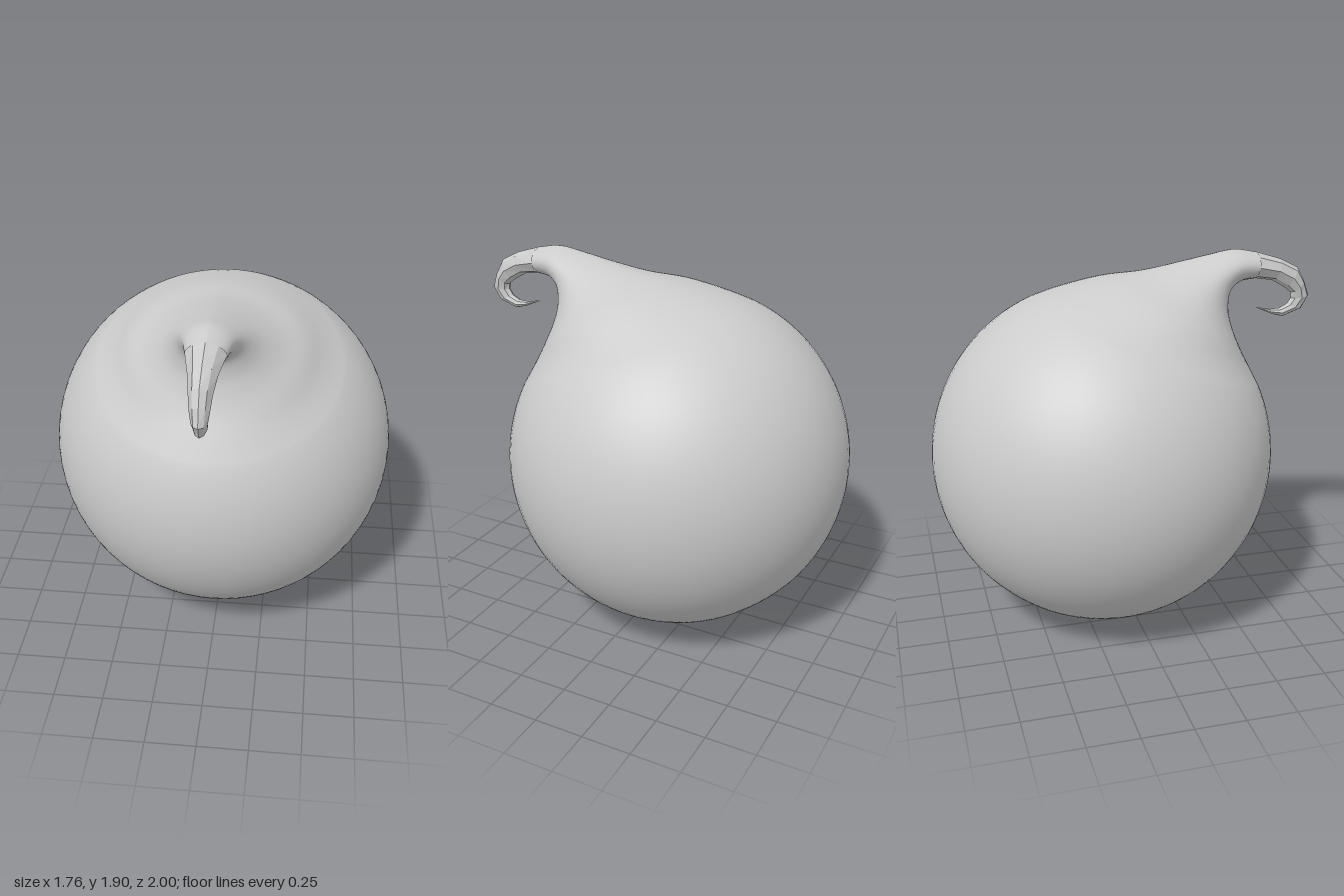
import * as THREE from 'three';

const RADIUS = 0.88, CENTRE_Y = 0.88, CENTRE_Z = -0.12;
const TILT = 22; // lean of the neck from vertical, degrees
const NECK_ANGLE = 37; // where the neck leaves the ball

// A station is [outer z, outer y, inner z, inner y, half width].
const ballStation = (degrees) => {
  const at = (d) => {
    const a = THREE.MathUtils.degToRad(d);
    return [CENTRE_Z + RADIUS * Math.sin(a), CENTRE_Y + RADIUS * Math.cos(a)];
  };
  const width = RADIUS * Math.sin(THREE.MathUtils.degToRad(degrees));
  return [...at(TILT - degrees), ...at(TILT + degrees), width];
};

const neckStations = [
  [-0.1, 1.787, 0.58, 1.44, 0.42],
  [0.1, 1.81, 0.545, 1.535, 0.31],
  [0.3, 1.85, 0.53, 1.61, 0.215],
  [0.45, 1.88, 0.54, 1.69, 0.155],
  [0.58, 1.9, 0.595, 1.735, 0.115],
  [0.7, 1.88, 0.68, 1.748, 0.09],
];

const hookStations = [
  [0.58, 1.9, 0.595, 1.735, 0.113],
  [0.7, 1.88, 0.68, 1.748, 0.09],
  [0.83, 1.84, 0.79, 1.73, 0.065],
  [0.93, 1.79, 0.86, 1.69, 0.052],
  [0.97, 1.72, 0.9, 1.66, 0.045],
  [1.0, 1.64, 0.9, 1.63, 0.036],
  [0.96, 1.57, 0.88, 1.6, 0.03],
  [0.86, 1.535, 0.84, 1.58, 0.025],
  [0.8, 1.55, 0.79, 1.577, 0.016],
  [0.71, 1.59, 0.71, 1.592, 0.002],
];

// Smoothly subdivide a list of stations.
function refine(stations, steps) {
  const curve = (f) => new THREE.CatmullRomCurve3(stations.map(f));
  const outer = curve((s) => new THREE.Vector3(s[4], s[1], s[0]));
  const inner = curve((s) => new THREE.Vector3(0, s[3], s[2]));
  return Array.from({ length: steps + 1 }, (_, i) => {
    const o = outer.getPoint(i / steps), n = inner.getPoint(i / steps);
    return [o.z, o.y, n.z, n.y, o.x];
  });
}

// Skin oval rings; the outer half narrows to a ridge as rings get slimmer.
function loft(stations, sides) {
  const positions = [], indices = [];
  stations.forEach(([oz, oy, iz, iy, w], row) => {
    const ridge = 1 + 0.4 * (1 - THREE.MathUtils.smoothstep(w, 0.12, 0.5));
    for (let i = 0; i < sides; i++) {
      const a = (i / sides) * Math.PI * 2;
      const c = Math.cos(a), s = Math.sin(a);
      const power = c > 0 ? ridge : 1;
      positions.push(
        w * Math.sign(s) * Math.abs(s) ** power,
        (oy + iy) / 2 + ((oy - iy) / 2) * c,
        (oz + iz) / 2 + ((oz - iz) / 2) * c
      );
      if (row === stations.length - 1) continue;
      const p = row * sides + i, q = row * sides + ((i + 1) % sides);
      indices.push(p, p + sides, q, q, p + sides, q + sides);
    }
  });
  const geometry = new THREE.BufferGeometry();
  geometry.setAttribute('position', new THREE.Float32BufferAttribute(positions, 3));
  geometry.setIndex(indices);
  geometry.computeVertexNormals();
  return geometry;
}

export function createModel() {
  const group = new THREE.Group();
  group.name = 'curledDroplet';
  const add = (name, geometry, flatShading) => {
    const mesh = new THREE.Mesh(geometry, new THREE.MeshStandardMaterial({
      color: 0xcccccc, flatShading, side: THREE.DoubleSide,
    }));
    mesh.name = name;
    group.add(mesh);
  };

  // Round ball flowing into the tapering neck
  const ball = [];
  for (let i = 0; i < 48; i++) {
    ball.push(ballStation(179.9 + ((NECK_ANGLE + 8 - 179.9) * i) / 48));
  }
  const neck = refine([ballStation(NECK_ANGLE + 8), ballStation(NECK_ANGLE), ...neckStations], 42);
  add('bodyAndNeck', loft([...ball, ...neck], 72), false);

  // Faceted hook curling back under the neck
  add('curledTip', loft(hookStations, 8), true);
  return group;
}
